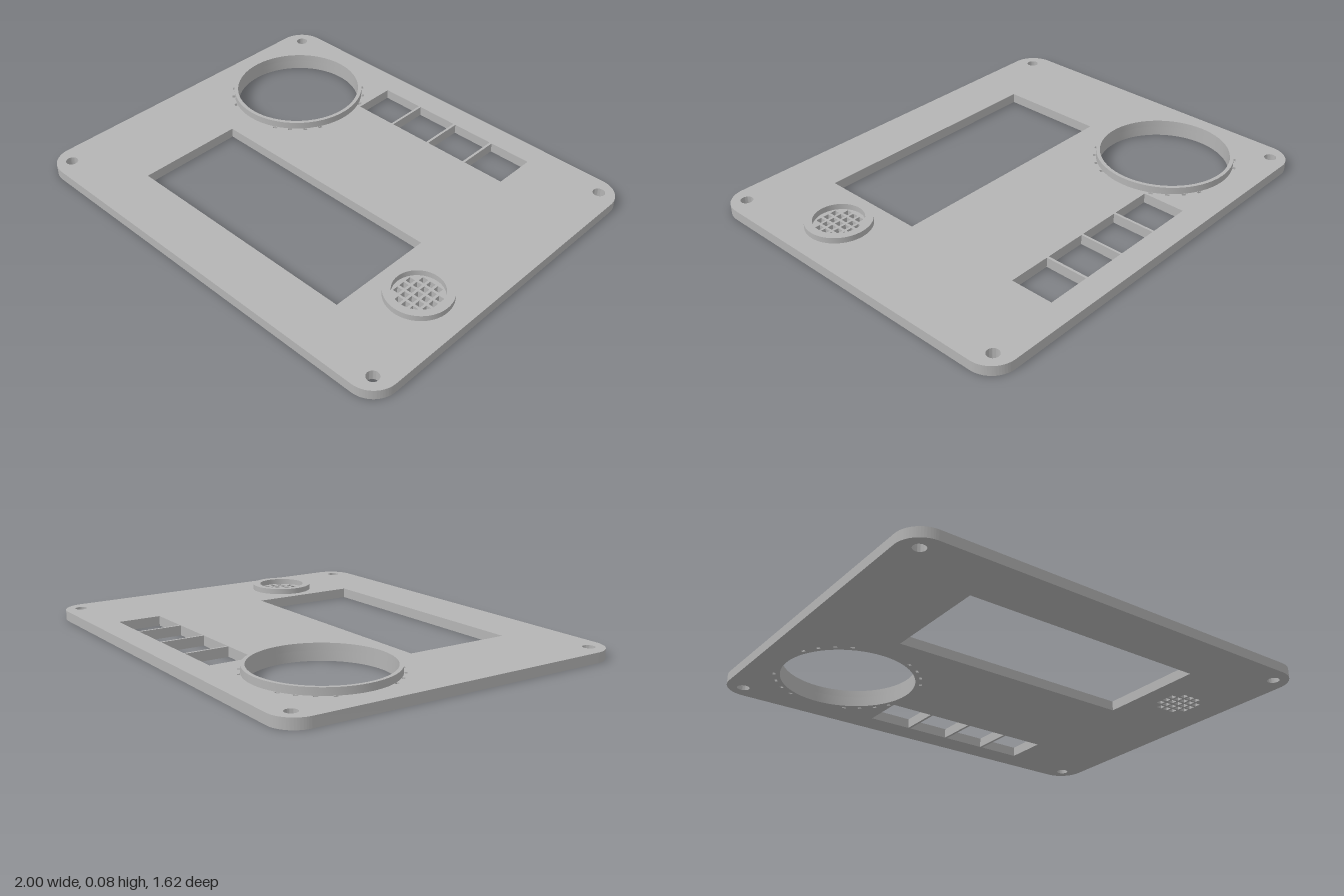
import * as THREE from 'three';
import { toCreasedNormals } from 'three/addons/utils/BufferGeometryUtils.js';

const PLATE = 0.045;

// Outlines are given in x and z; the shape plane uses y = -z.
function circle(x, z, r, Type = THREE.Path) {
  const p = new Type();
  p.absarc(x, -z, r, 0, Math.PI * 2, false);
  return p;
}

function rect(cx, cz, w, d, angle = 0) {
  const c = Math.cos(angle), s = Math.sin(angle);
  const corners = [[-1, -1], [1, -1], [1, 1], [-1, 1]].map(([i, j]) => {
    const u = i * w / 2, v = j * d / 2;
    return new THREE.Vector2(cx + u * c - v * s, -(cz + u * s + v * c));
  });
  return new THREE.Path(corners);
}

function roundedPlate(hx, hz, r) {
  const s = new THREE.Shape();
  const q = Math.PI / 2;
  s.absarc(hx - r, hz - r, r, 0, q, false);
  s.absarc(-hx + r, hz - r, r, q, 2 * q, false);
  s.absarc(-hx + r, -hz + r, r, 2 * q, 3 * q, false);
  s.absarc(hx - r, -hz + r, r, 3 * q, 4 * q, false);
  s.closePath();
  return s;
}

function slab(name, shape, y0, y1, material) {
  const geo = new THREE.ExtrudeGeometry(shape, { depth: y1 - y0, bevelEnabled: false, curveSegments: 32 });
  geo.rotateX(-Math.PI / 2);
  geo.translate(0, y0, 0);
  const mesh = new THREE.Mesh(toCreasedNormals(geo, 0.6), material);
  mesh.name = name;
  return mesh;
}

function ring(name, x, z, outer, inner, top, material) {
  const shape = circle(x, z, outer, THREE.Shape);
  shape.holes.push(circle(x, z, inner));
  return slab(name, shape, PLATE, top, material);
}

export function createModel() {
  const group = new THREE.Group();
  group.name = 'controlPanel';
  const grey = new THREE.MeshStandardMaterial({ color: 0xb4b4b4 });
  grey.name = 'panelGrey';

  const dial = { x: -0.585, z: -0.375, outer: 0.311, inner: 0.294 };
  const speaker = { x: 0.764, z: 0.298, outer: 0.144, inner: 0.109 };

  const plate = roundedPlate(1, 0.81, 0.115);
  const holes = plate.holes;

  // Corner screw holes
  for (const sx of [-1, 1]) for (const sz of [-1, 1]) holes.push(circle(sx * 0.917, sz * 0.73, 0.027));

  // Screen window and four button windows
  holes.push(rect(-0.005, 0.31, 1.16, 0.5));
  for (let i = 0; i < 4; i++) holes.push(rect(-0.178 + i * 0.2137, -0.594, 0.202, 0.2));

  // Dial opening with tiny slots around the collar
  holes.push(circle(dial.x, dial.z, dial.inner));
  for (let quarter = 0; quarter < 4; quarter++) {
    for (const deg of [25.5, 38.5, 51.5, 64.5]) {
      const a = (quarter * 90 + deg) * Math.PI / 180;
      holes.push(rect(dial.x + 0.318 * Math.cos(a), dial.z + 0.318 * Math.sin(a), 0.012, 0.018, a));
    }
  }

  // Speaker grille: 5 x 5 grid without its corners
  for (let i = -2; i <= 2; i++) {
    for (let j = -2; j <= 2; j++) {
      if (Math.abs(i) + Math.abs(j) === 4) continue;
      holes.push(rect(speaker.x + i * 0.0374, speaker.z + j * 0.0374, 0.026, 0.026));
    }
  }

  group.add(slab('faceplate', plate, 0, PLATE, grey));
  group.add(ring('dialCollar', dial.x, dial.z, dial.outer, dial.inner, 0.077, grey));
  group.add(ring('speakerCollar', speaker.x, speaker.z, speaker.outer, speaker.inner, 0.071, grey));
  return group;
}
